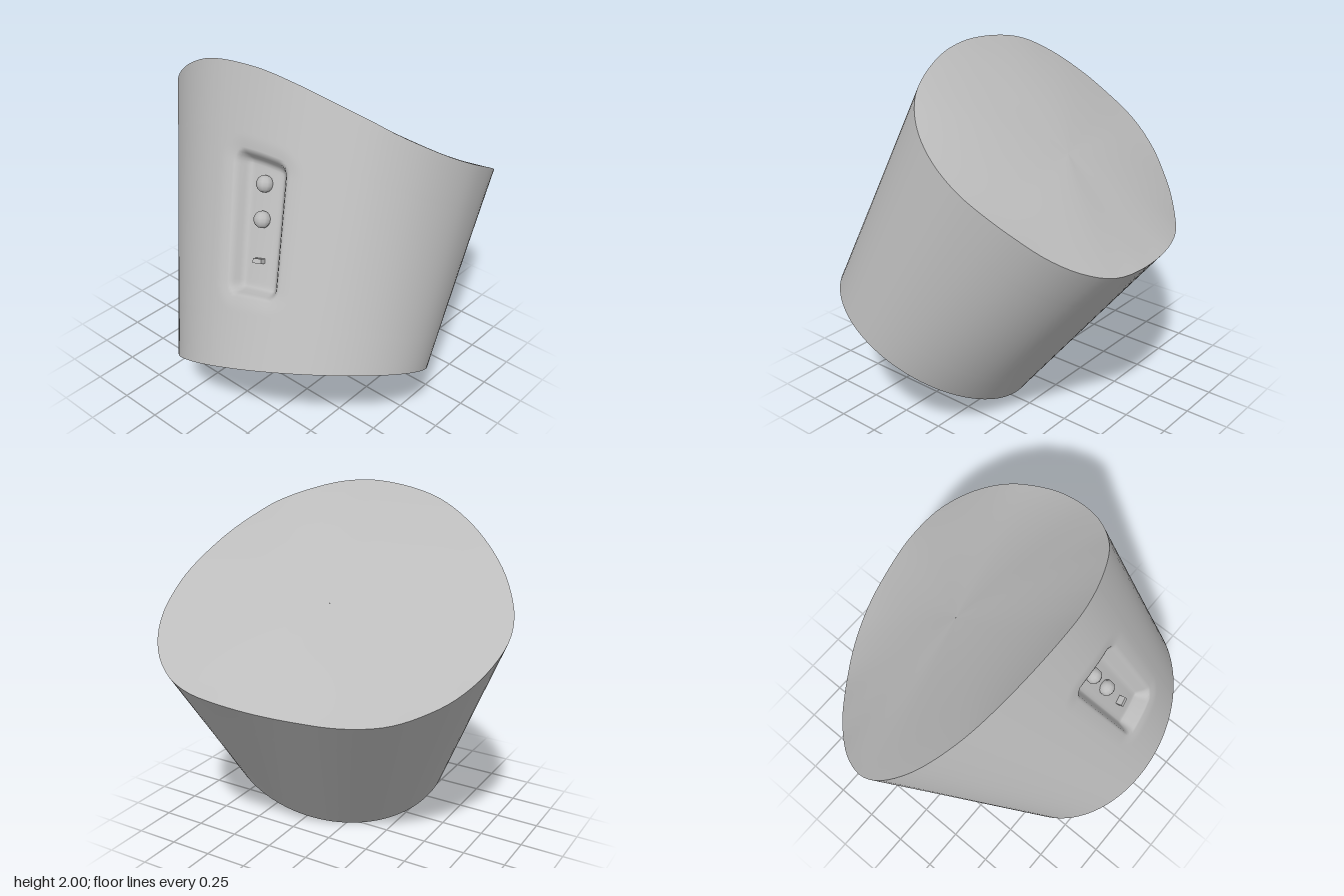
import * as THREE from 'three';

const V = (x, y, z) => new THREE.Vector3(x, y, z);
const TAU = Math.PI * 2;

// Slanted frame: the base rim is the unit circle, the third axis is the body axis
const BASE = V(-0.38, 0.345, 0.32);
const AXIS = V(0.68, 1.14, -0.37).normalize();
const FRAME = new THREE.Matrix4()
  .makeBasis(V(0.123, 0.201, 0.675), V(0.557, -0.28, 0), AXIS)
  .setPosition(BASE);
const INVERSE = FRAME.clone().invert();

// Curved upper rim, starting at its highest point
const RIM = [
  [-0.345, 2, 0], [-0.33, 1.98, 0.23], [-0.28, 1.925, 0.43], [-0.2, 1.85, 0.61],
  [-0.12, 1.78, 0.71], [0, 1.695, 0.8], [0.15, 1.6, 0.86], [0.32, 1.505, 0.885],
  [0.47, 1.425, 0.87], [0.62, 1.34, 0.83], [0.75, 1.25, 0.76], [0.85, 1.175, 0.66],
  [0.92, 1.115, 0.53], [0.945, 1.08, 0.4], [0.945, 1.06, 0.25], [0.915, 1.035, 0.05],
  [0.86, 1.015, -0.17], [0.765, 0.995, -0.4], [0.64, 1.005, -0.6], [0.5, 1.07, -0.77],
  [0.4, 1.13, -0.86], [0.27, 1.23, -0.945], [0.12, 1.35, -0.99], [0.02, 1.44, -0.975],
  [-0.07, 1.535, -0.92], [-0.17, 1.665, -0.81], [-0.27, 1.83, -0.6], [-0.325, 1.95, -0.35],
].map((p) => V(...p).applyMatrix4(INVERSE));
const mod = (a) => ((a % TAU) + TAU) % TAU;
const rimSamples = new THREE.CatmullRomCurve3(RIM, true, 'centripetal').getPoints(400);
const START = Math.atan2(rimSamples[0].y, rimSamples[0].x);
const rimAngles = rimSamples.map((p, i) =>
  i === 0 ? 0 : i === 400 ? TAU : mod(Math.atan2(p.y, p.x) - START));

function rim(theta) {
  const a = mod(theta - START);
  let i = 1;
  while (i < 400 && rimAngles[i] < a) i++;
  const k = (a - rimAngles[i - 1]) / Math.max(1e-9, rimAngles[i] - rimAngles[i - 1]);
  return rimSamples[i - 1].clone().lerp(rimSamples[i], THREE.MathUtils.clamp(k, 0, 1));
}

// Cap: a tilted sheet with a slight saddle bend, meeting the rim at s = 1
function harmonic(f) {
  let sum = 0;
  for (let i = 0; i < 180; i++) sum += rim((i / 180) * TAU).z * f((i / 180) * TAU);
  return sum / 180;
}
const mean = harmonic(() => 1);
const tilt = [2 * harmonic(Math.cos), 2 * harmonic(Math.sin)];
const bend = [2 * harmonic((a) => Math.cos(2 * a)), 2 * harmonic((a) => Math.sin(2 * a))];
const crown = mean + 0.15 * Math.hypot(...bend);
function capHeight(th, s) {
  const t = tilt[0] * Math.cos(th) + tilt[1] * Math.sin(th);
  const b = mean - crown + bend[0] * Math.cos(2 * th) + bend[1] * Math.sin(2 * th);
  return crown + s * t + s * s * b + s ** 5 * (rim(th).z - crown - t - b);
}

// Recessed slot in the side wall
const slotPoint = V(-0.635, 1.33, 0.235).applyMatrix4(INVERSE);
const SLOT = { angle: Math.atan2(slotPoint.y, slotPoint.x), t: 0.485, halfAngle: 0.165, halfT: 0.225 };
function slotDepth(th, t) {
  const a = mod(th - SLOT.angle + Math.PI) - Math.PI;
  const dx = (Math.abs(a) - SLOT.halfAngle) * 0.75;
  const dy = (Math.abs(t - SLOT.t) - SLOT.halfT) * 1.5;
  const r = 0.04;
  const d = Math.hypot(Math.max(dx + r, 0), Math.max(dy + r, 0)) - r;
  const edge = (w) => 1 - THREE.MathUtils.smoothstep(d, -w, w);
  return 0.095 * edge(0.02) + 0.04 * edge(0.1);
}
function wall(th, t, dent = true) {
  const p = V(Math.cos(th), Math.sin(th), 0).lerp(rim(th), t);
  const k = dent ? 1 - slotDepth(th, t) : 1;
  return V(p.x * k, p.y * k, p.z);
}

// Values from stops, each pair split into a number of steps
function steps(stops, counts) {
  const out = [stops[0]];
  counts.forEach((n, k) => {
    for (let i = 1; i <= n; i++) out.push(stops[k] + ((stops[k + 1] - stops[k]) * i) / n);
  });
  return out;
}
const ANGLES = steps([-Math.PI, -0.34, 0.34, Math.PI], [48, 52, 48])
  .slice(0, -1).map((a) => a + SLOT.angle);

// Closed band of quads around the axis
function band(name, rows, fn, material) {
  const pos = [], index = [], n = ANGLES.length;
  rows.forEach((t) => ANGLES.forEach((th) => pos.push(...fn(th, t).applyMatrix4(FRAME).toArray())));
  for (let j = 0; j < rows.length - 1; j++) {
    for (let i = 0; i < n; i++) {
      const a = j * n + i, b = j * n + ((i + 1) % n);
      index.push(a, b, b + n, a, b + n, a + n);
    }
  }
  const g = new THREE.BufferGeometry();
  g.setAttribute('position', new THREE.Float32BufferAttribute(pos, 3));
  g.setIndex(index);
  g.computeVertexNormals();
  const mesh = new THREE.Mesh(g, material);
  mesh.name = name;
  return mesh;
}

export function createModel() {
  const group = new THREE.Group();
  group.name = 'slantedHousing';
  const grey = new THREE.MeshStandardMaterial({ color: 0xbcbcbc });
  grey.name = 'plain grey';
  const HOLE = 0.77, SHIFT = 0.06, DEEP = 0.85;

  // Outer wall with its slot, and the gently bent cap
  group.add(band('outerWall', steps([0, 0.18, 0.79, 1], [4, 64, 5]), (th, t) => wall(th, t), grey));
  group.add(band('cap', steps([1, 0.001], [20]), (th, s) => {
    const p = rim(th);
    return V(p.x * s, p.y * s, capHeight(th, s));
  }, grey));

  // Base ring and the deep bore, set slightly off centre
  const holeEdge = (th) => V(Math.cos(th) * HOLE + SHIFT, Math.sin(th) * HOLE, 0);
  group.add(band('baseRing', [0, 1], (th, s) =>
    holeEdge(th).lerp(V(Math.cos(th), Math.sin(th), 0), s), grey));
  const bore = (th, s) => {
    const p = wall(th, DEEP, false);
    return V(p.x * HOLE * s, p.y * HOLE * s, DEEP * capHeight(th, HOLE * s));
  };
  group.add(band('boreWall', steps([1, 0], [8]), (th, t) => holeEdge(th).lerp(bore(th, 1), t), grey));
  group.add(band('boreEnd', steps([0.001, 1], [8]), bore, grey));

  // Fittings standing on the slot floor
  const fit = (name, geometry, t) => {
    const th = SLOT.angle;
    const p = wall(th, t).applyMatrix4(FRAME);
    const up = wall(th, t + 0.02).applyMatrix4(FRAME).sub(p).normalize();
    const side = wall(th + 0.02, t).applyMatrix4(FRAME).sub(p).normalize();
    const out = side.clone().cross(up).normalize();
    const mesh = new THREE.Mesh(geometry, grey);
    mesh.name = name;
    mesh.quaternion.setFromRotationMatrix(
      new THREE.Matrix4().makeBasis(up.clone().cross(out), up, out));
    mesh.position.copy(p).addScaledVector(out, 0.015);
    group.add(mesh);
  };
  const knob = new THREE.SphereGeometry(0.045, 10, 7);
  fit('upperKnob', knob, 0.63);
  fit('lowerKnob', knob, 0.51);
  fit('pin', new THREE.BoxGeometry(0.05, 0.025, 0.045), 0.37);
  return group;
}
